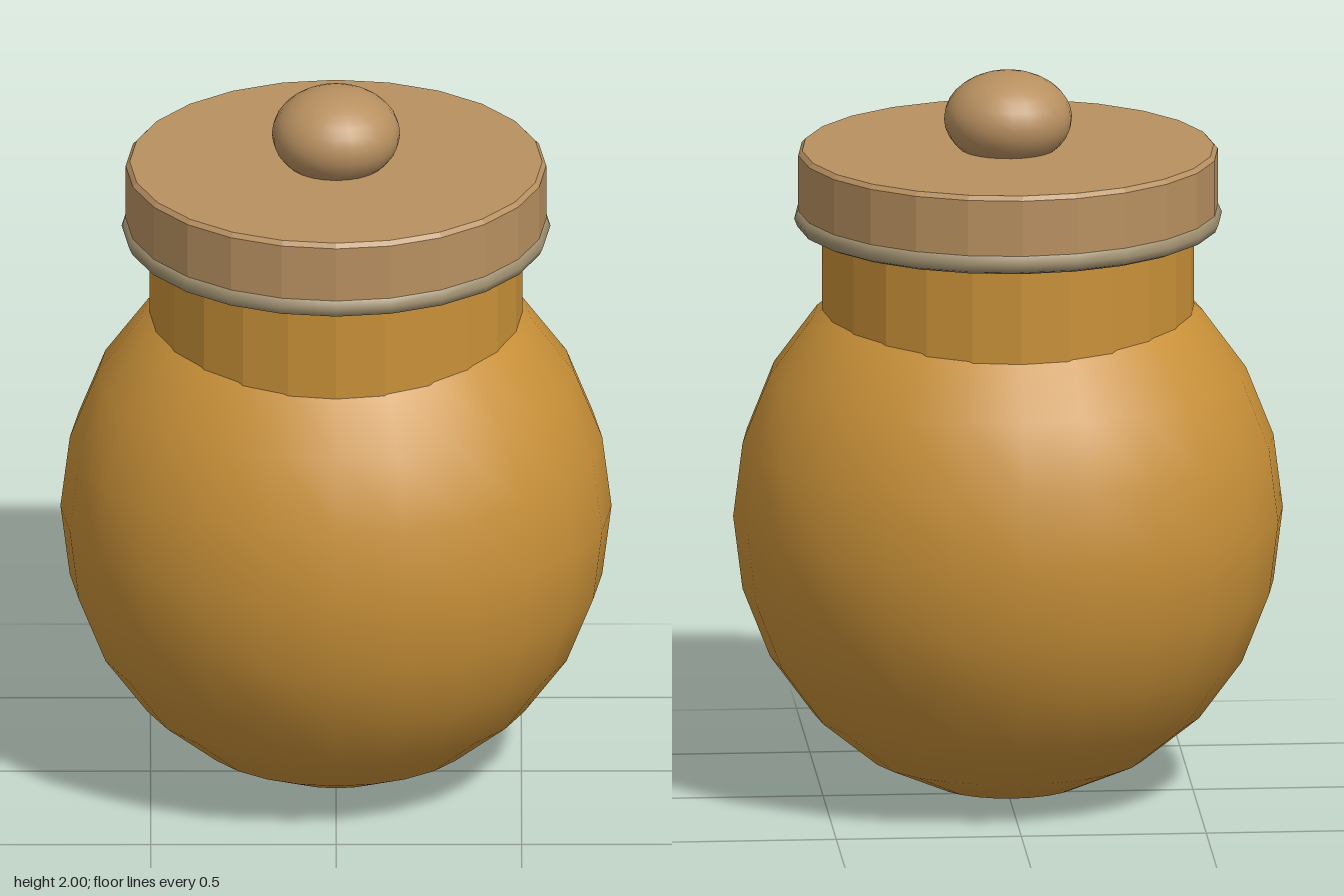
import * as THREE from 'three';

const material = (color, flatShading = false) =>
  new THREE.MeshStandardMaterial({ color, flatShading, side: THREE.DoubleSide });

function addPart(group, name, geometry, mat, y) {
  const mesh = new THREE.Mesh(geometry, mat);
  mesh.name = name;
  mesh.position.y = y;
  group.add(mesh);
  return mesh;
}

export function createModel() {
  const model = new THREE.Group();
  model.name = 'lidded jar';
  const SIDES = 24;
  const amber = 0xc89038, tan = 0xb89060, band = 0xa09070;

  // Round belly, slightly narrower front to back
  const belly = addPart(model, 'belly', new THREE.SphereGeometry(1, SIDES, 12), material(amber), 0.78);
  belly.scale.set(0.743, 0.78, 0.69);

  // Straight faceted neck, rising into the lid
  addPart(model, 'neck', new THREE.CylinderGeometry(0.503, 0.503, 0.42, SIDES), material(amber, true), 1.4);

  // Lid with a narrow bevel around its top edge
  const lidProfile = [[0, 1.59], [0.567, 1.59], [0.567, 1.778], [0.556, 1.79], [0, 1.79]]
    .map(([r, y]) => new THREE.Vector2(r, y));
  addPart(model, 'lid', new THREE.LatheGeometry(lidProfile, SIDES), material(tan, true), 0);

  // Rolled band around the lid's lower edge
  const ring = addPart(model, 'lidBand', new THREE.TorusGeometry(0.547, 0.031, 8, SIDES), material(band), 1.602);
  ring.rotation.x = Math.PI / 2;

  // Flattened knob set into the lid
  const knob = addPart(model, 'knob', new THREE.SphereGeometry(0.173, 24, 16), material(tan), 1.873);
  knob.scale.y = 0.127 / 0.173;

  return model;
}
